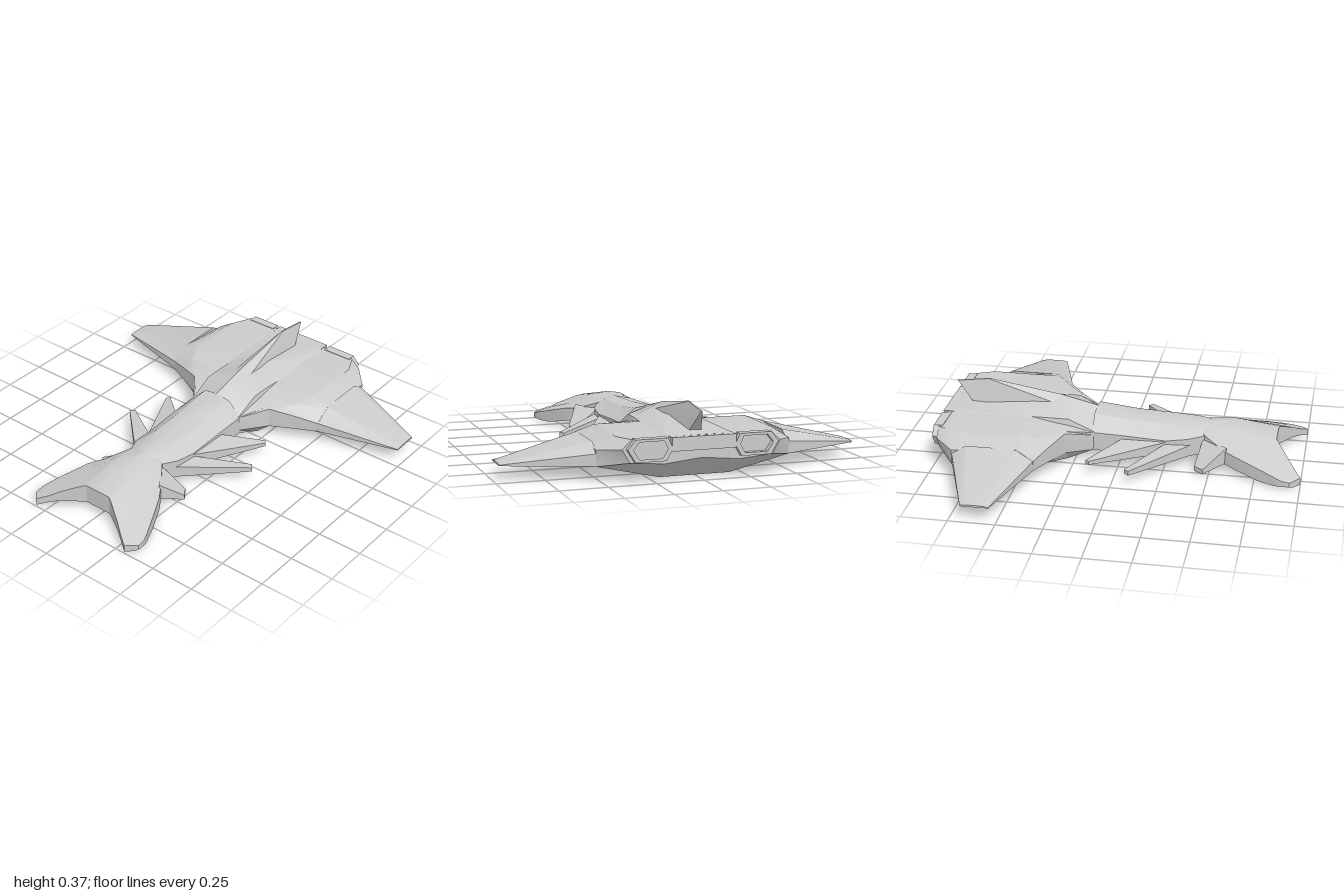
import * as THREE from 'three';
import { toCreasedNormals } from 'three/addons/utils/BufferGeometryUtils.js';

const material = new THREE.MeshStandardMaterial({ color: 0xcccccc });

function part(name, geometry) {
  const mesh = new THREE.Mesh(geometry, material);
  mesh.name = name;
  return mesh;
}

// Skin closed rings of [x, y, z] points, cap both ends, and face everything outward.
function loft(rings, crease = 0.45) {
  const tris = [];
  const n = rings[0].length;
  for (let r = 0; r + 1 < rings.length; r++) {
    for (let i = 0; i < n; i++) {
      const j = (i + 1) % n;
      const [a, b, c, d] = [rings[r][i], rings[r][j], rings[r + 1][j], rings[r + 1][i]];
      tris.push([a, b, c], [a, c, d]);
    }
  }
  const cap = (ring, flip) => {
    const mid = [0, 1, 2].map(k => ring.reduce((sum, p) => sum + p[k], 0) / n);
    ring.forEach((p, i) => {
      const q = ring[(i + 1) % n];
      tris.push(flip ? [mid, q, p] : [mid, p, q]);
    });
  };
  cap(rings[0], true);
  cap(rings[rings.length - 1], false);

  const v = p => new THREE.Vector3(...p);
  const volume = tris.reduce((sum, [a, b, c]) => sum + v(a).dot(v(b).cross(v(c))), 0);
  if (volume < 0) tris.forEach(t => t.reverse());
  const geometry = new THREE.BufferGeometry();
  geometry.setAttribute('position', new THREE.Float32BufferAttribute(tris.flat(2), 3));
  return toCreasedNormals(geometry, crease);
}

// Complete a half section (top centre to bottom centre) into a ring at depth z.
// The top centre can be pushed forward to make a chevron.
function symmetricRing(z, half, chevron = 0) {
  const right = half.map(([x, y], i) => [x, y, z + (i === 0 ? chevron : i === 1 ? chevron / 2 : 0)]);
  const left = right.slice(1, -1).reverse().map(([x, y, pz]) => [-x, y, pz]);
  return [...right, ...left];
}

// Both sides of a lofted part.
function pair(group, name, rings, crease) {
  for (const s of [1, -1]) {
    const mirrored = rings.map(ring => ring.map(([x, y, z]) => [s * x, y, z]));
    group.add(part((s > 0 ? 'left' : 'right') + name, loft(mirrored, crease)));
  }
}

// Four-cornered section of a spike, between two plan points.
const blade = ([x1, z1], [x2, z2], bottom, top) => [
  [x1, bottom, z1], [x1, top, z1], [x2, top, z2], [x2, bottom, z2],
];

export function createModel() {
  const model = new THREE.Group();
  model.name = 'spacecraft';

  // Segmented neck: z, half width, ridge, shoulder, chevron
  const neck = [
    [0.46, 0.11, 0.212, 0.17, 0.06],
    [0.37, 0.15, 0.217, 0.16, 0.06],
    [0.25, 0.16, 0.222, 0.145, 0.05],
    [0.01, 0.165, 0.23, 0.16, 0.11],
    [-0.16, 0.165, 0.255, 0.165, 0],
  ].map(([z, w, top, shoulder, chevron]) => symmetricRing(z, [
    [0, top], [w * 0.5, top - 0.012], [w, shoulder], [w, 0.06], [0, 0.06],
  ], chevron));
  model.add(part('neck', loft(neck)));

  // Broad rear hull
  const hull = [
    [-0.15, [[0, 0.255], [0.162, 0.17], [0.163, 0.167], [0.164, 0.165], [0.165, 0.15], [0.165, 0.08], [0.16, 0.06], [0, 0.06]]],
    [-0.29, [[0, 0.29], [0.165, 0.235], [0.17, 0.2], [0.25, 0.2], [0.27, 0.195], [0.27, 0.08], [0.19, 0.01], [0, 0.01]]],
    [-0.36, [[0, 0.306], [0.165, 0.235], [0.17, 0.21], [0.33, 0.2], [0.41, 0.165], [0.41, 0.083], [0.19, 0.01], [0, 0.01]]],
    [-0.41, [[0, 0.3], [0.165, 0.235], [0.17, 0.22], [0.38, 0.21], [0.52, 0.14], [0.52, 0.085], [0.19, 0.01], [0, 0.01]]],
    [-0.5, [[0, 0.29], [0.165, 0.235], [0.17, 0.232], [0.42, 0.232], [0.52, 0.2], [0.52, 0.085], [0.19, 0.01], [0, 0.01]]],
    [-0.86, [[0, 0.245], [0.165, 0.235], [0.17, 0.232], [0.42, 0.232], [0.52, 0.17], [0.52, 0.085], [0.19, 0.01], [0, 0.01]]],
    [-0.97, [[0, 0.236], [0.165, 0.235], [0.17, 0.232], [0.37, 0.232], [0.42, 0.185], [0.38, 0.115], [0.2, 0.1], [0, 0.12]]],
  ].map(([z, half]) => symmetricRing(z, half));
  model.add(part('hull', loft(hull)));

  // Tail edge between the engines
  const tail = part('tailEdge', new THREE.BoxGeometry(0.34, 0.07, 0.06));
  tail.position.set(0, 0.2, -0.97);
  model.add(tail);

  // Hollow six-sided engine outlets
  const outlet = [[0.19, 0.235], [0.36, 0.235], [0.4, 0.185], [0.36, 0.12], [0.2, 0.12], [0.165, 0.18]];
  for (const s of [1, -1]) {
    const points = scale => outlet.map(([x, y]) => new THREE.Vector2(
      s * (0.28 + (x - 0.28) * scale), 0.18 + (y - 0.18) * scale));
    const shape = new THREE.Shape(points(1));
    shape.holes.push(new THREE.Path(points(0.76)));
    const rim = part((s > 0 ? 'left' : 'right') + 'EngineOutlet',
      new THREE.ExtrudeGeometry(shape, { depth: 0.05, bevelEnabled: false }));
    rim.position.z = -1;
    model.add(rim);
  }

  // Tapered wings
  const root = [[0.085, -0.41], [0.14, -0.41], [0.2, -0.5], [0.2, -0.78], [0.15, -0.86], [0.085, -0.86]];
  const tip = [[0.085, -0.54], [0.09, -0.54], [0.095, -0.57], [0.095, -0.66], [0.09, -0.69], [0.085, -0.69]];
  pair(model, 'Wing', [
    root.map(([y, z]) => [0.515, y, z]),
    tip.map(([y, z]) => [0.97, y, z]),
  ]);

  // Dorsal fin, leaning back from the ridge
  model.add(part('fin', loft([
    [[-0.055, 0.27, -0.37], [0, 0.306, -0.35], [0.055, 0.27, -0.37], [0.035, 0.23, -0.86], [-0.035, 0.23, -0.86]],
    [[-0.004, 0.373, -0.78], [0, 0.375, -0.775], [0.004, 0.373, -0.78], [0.004, 0.35, -0.96], [-0.004, 0.35, -0.96]],
  ], 0.2)));

  // Forked head, lofted across: x, back z, crest z, front z, back y, crest y, front y, bottom y
  const headHalf = [
    [0, 0.44, 0.58, 0.85, 0.212, 0.222, 0.17, 0.06],
    [0.08, 0.44, 0.6, 0.85, 0.19, 0.207, 0.168, 0.06],
    [0.11, 0.455, 0.62, 0.868, 0.175, 0.19, 0.158, 0.06],
    [0.2, 0.575, 0.71, 0.925, 0.13, 0.14, 0.115, 0.055],
    [0.25, 0.65, 0.8, 0.96, 0.12, 0.115, 0.085, 0.045],
    [0.31, 0.78, 0.9, 1, 0.09, 0.078, 0.06, 0.02],
    [0.345, 0.86, 0.92, 0.965, 0.07, 0.064, 0.055, 0.02],
    [0.36, 0.9, 0.92, 0.945, 0.058, 0.055, 0.05, 0.025],
  ];
  const headRing = (s, [x, back, crest, front, yBack, yCrest, yFront, bottom]) => [
    [s * x, bottom, back], [s * x, yBack, back], [s * x, yCrest, crest],
    [s * x, yFront, front], [s * x, bottom, front],
  ];
  model.add(part('head', loft([
    ...headHalf.slice(1).reverse().map(row => headRing(-1, row)),
    ...headHalf.map(row => headRing(1, row)),
  ])));

  // Drooping barbs behind the head
  pair(model, 'HeadBarb', [
    blade([0.1, 0.45], [0.2, 0.59], 0.06, 0.15),
    blade([0.24, 0.42], [0.275, 0.47], 0.018, 0.045),
  ]);

  // Swept spikes along the neck
  pair(model, 'FrontSpike', [
    blade([0.15, 0.25], [0.14, 0.39], 0.06, 0.125),
    blade([0.42, 0.065], [0.44, 0.09], 0.06, 0.085),
  ]);
  pair(model, 'RearSpike', [
    blade([0.16, 0.01], [0.15, 0.27], 0.07, 0.14),
    blade([0.345, -0.16], [0.36, -0.14], 0.065, 0.085),
  ]);

  return model;
}
